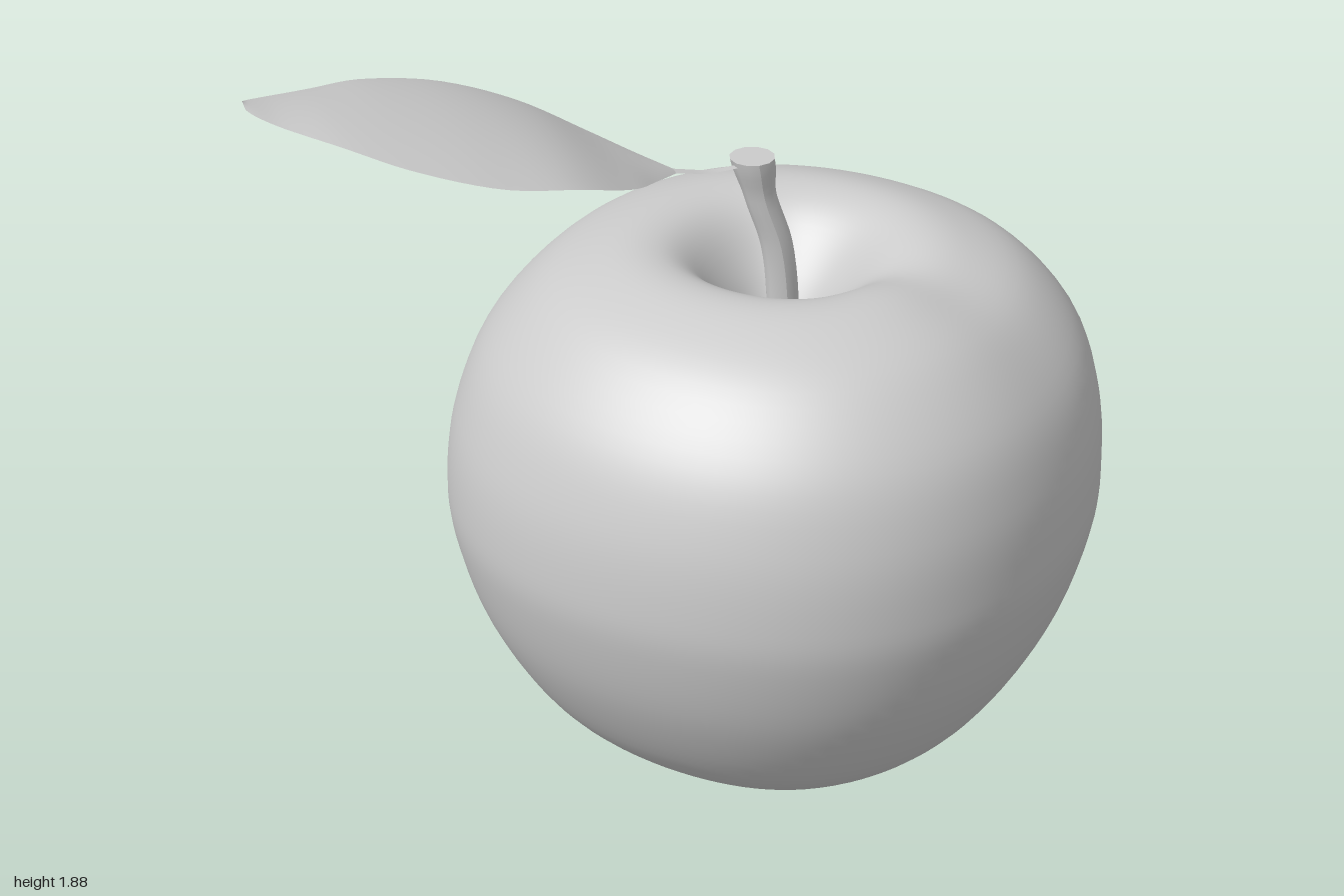
import * as THREE from 'three';
import { mergeVertices } from 'three/addons/utils/BufferGeometryUtils.js';

const material = new THREE.MeshStandardMaterial({ color: 0xcccccc });
const leafMaterial = new THREE.MeshStandardMaterial({ color: 0xcccccc, side: THREE.DoubleSide });

// Weld seams and smooth the normals
function smooth(geometry) {
  geometry.deleteAttribute('uv');
  geometry.deleteAttribute('normal');
  const merged = mergeVertices(geometry, 1e-4);
  merged.computeVertexNormals();
  return merged;
}

// Fruit: a lathe with hollows at both ends, made slightly irregular
function makeBody() {
  const profile = [
    [0, 0.14], [0.06, 0.135], [0.14, 0.09], [0.22, 0.025], [0.285, 0.0], [0.33, 0.01],
    [0.44, 0.07], [0.58, 0.2], [0.695, 0.4], [0.755, 0.6], [0.764, 0.74], [0.745, 0.9],
    [0.685, 1.06], [0.56, 1.2], [0.42, 1.268], [0.31, 1.283], [0.22, 1.245],
    [0.13, 1.14], [0.06, 1.03], [0, 0.99],
  ].map(([r, y]) => new THREE.Vector2(r, y));
  const points = new THREE.SplineCurve(profile).getPoints(95);
  points.forEach((p) => { p.x = Math.max(p.x, 0); p.y = Math.max(p.y, 0); });
  points[0].x = points[points.length - 1].x = 0;
  const geometry = new THREE.LatheGeometry(points, 96);
  const pos = geometry.attributes.position;
  for (let i = 0; i < pos.count; i++) {
    const x = pos.getX(i), y = pos.getY(i), z = pos.getZ(i);
    const r = Math.hypot(x, z), angle = Math.atan2(z, x);
    const upper = THREE.MathUtils.smoothstep(y, 0.7, 1.15);
    const rim = THREE.MathUtils.smoothstep(r, 0.05, 0.3);
    // Shallow groove on the front left shoulder
    const groove = Math.exp(-(((angle - 0.65) / 0.4) ** 2)) * upper * rim;
    const scale = 1 + 0.015 * Math.cos(4 * angle) - 0.015 * groove;
    pos.setXYZ(i, x * scale + 0.018 * upper * rim, y - 0.028 * groove, z * scale);
  }
  return smooth(geometry);
}

// Stem: rings of varying radius along a leaning curve, with a flat cap
function makeStem() {
  const path = new THREE.CatmullRomCurve3([
    new THREE.Vector3(0.235, 0.96, 0), new THREE.Vector3(0.235, 1.12, 0),
    new THREE.Vector3(0.218, 1.28, -0.002), new THREE.Vector3(0.18, 1.4, -0.006),
    new THREE.Vector3(0.16, 1.5, -0.01),
  ]);
  const steps = 20;
  const geometry = new THREE.CylinderGeometry(1, 1, 1, 12, steps);
  const pos = geometry.attributes.position;
  for (let i = 0; i < pos.count; i++) {
    const t = pos.getY(i) + 0.5;
    const radius = 0.038 + 0.014 * THREE.MathUtils.smoothstep(t, 0.75, 1);
    const c = path.getPoint(t);
    pos.setXYZ(i, c.x + pos.getX(i) * radius, c.y, c.z + pos.getZ(i) * radius);
  }
  geometry.computeVertexNormals();
  return geometry;
}

// Surface lofted across stations [x, zBack, zFront, yBack, yMid, yFront]
function loft(stations, along, across) {
  const edge = (f) => new THREE.CatmullRomCurve3(stations.map((s) => new THREE.Vector3(...f(s))));
  const back = edge((s) => [s[0], s[3], s[1]]);
  const mid = edge((s) => [s[0], s[4], (s[1] + s[2]) / 2]);
  const front = edge((s) => [s[0], s[5], s[2]]);
  const geometry = new THREE.PlaneGeometry(1, 1, across, along);
  const pos = geometry.attributes.position;
  for (let i = 0; i < pos.count; i++) {
    const u = pos.getX(i) * 2, t = 0.5 - pos.getY(i);
    const p = mid.getPoint(t).multiplyScalar(1 - u * u)
      .addScaledVector(back.getPoint(t), (u * u - u) / 2)
      .addScaledVector(front.getPoint(t), (u * u + u) / 2);
    pos.setXYZ(i, p.x, p.y, p.z);
  }
  // Rows run towards -x, so flip the winding to face upwards
  const index = geometry.index;
  for (let i = 0; i < index.count; i += 3) {
    const b = index.getX(i + 1);
    index.setX(i + 1, index.getX(i + 2));
    index.setX(i + 2, b);
  }
  geometry.computeVertexNormals();
  if (geometry.attributes.normal.getY(Math.floor(pos.count / 2)) < 0) {
    geometry.index.array.reverse();
    geometry.computeVertexNormals();
  }
  return geometry;
}

export function createModel() {
  const group = new THREE.Group();
  const add = (name, geometry, mat) => {
    const mesh = new THREE.Mesh(geometry, mat);
    mesh.name = name;
    group.add(mesh);
    return mesh;
  };

  add('fruitBody', makeBody(), material).position.x = 0.222;
  add('stem', makeStem(), material);

  // Thin leaf stalk
  add('leafStalk', loft([
    [0.14, -0.005, 0.012, 1.488, 1.488, 1.488],
    [0.05, 0.012, 0.032, 1.492, 1.492, 1.492],
    [-0.035, 0.028, 0.053, 1.513, 1.513, 1.513],
  ], 8, 2), leafMaterial);

  // Arched blade, its back edge drooping lower than its front edge
  add('leafBlade', loft([
    [-0.035, 0.028, 0.053, 1.513, 1.513, 1.513],
    [-0.11, -0.025, 0.165, 1.54, 1.555, 1.555],
    [-0.2, -0.075, 0.3, 1.58, 1.61, 1.61],
    [-0.35, -0.135, 0.42, 1.65, 1.705, 1.685],
    [-0.52, -0.162, 0.466, 1.705, 1.775, 1.73],
    [-0.7, -0.115, 0.443, 1.75, 1.825, 1.785],
    [-0.83, -0.005, 0.39, 1.79, 1.85, 1.83],
    [-0.94, 0.12, 0.325, 1.84, 1.866, 1.86],
    [-0.985, 0.185, 0.29, 1.866, 1.876, 1.875],
    [-1.0, 0.22, 0.265, 1.88, 1.88, 1.88],
  ], 48, 16), leafMaterial);

  return group;
}
